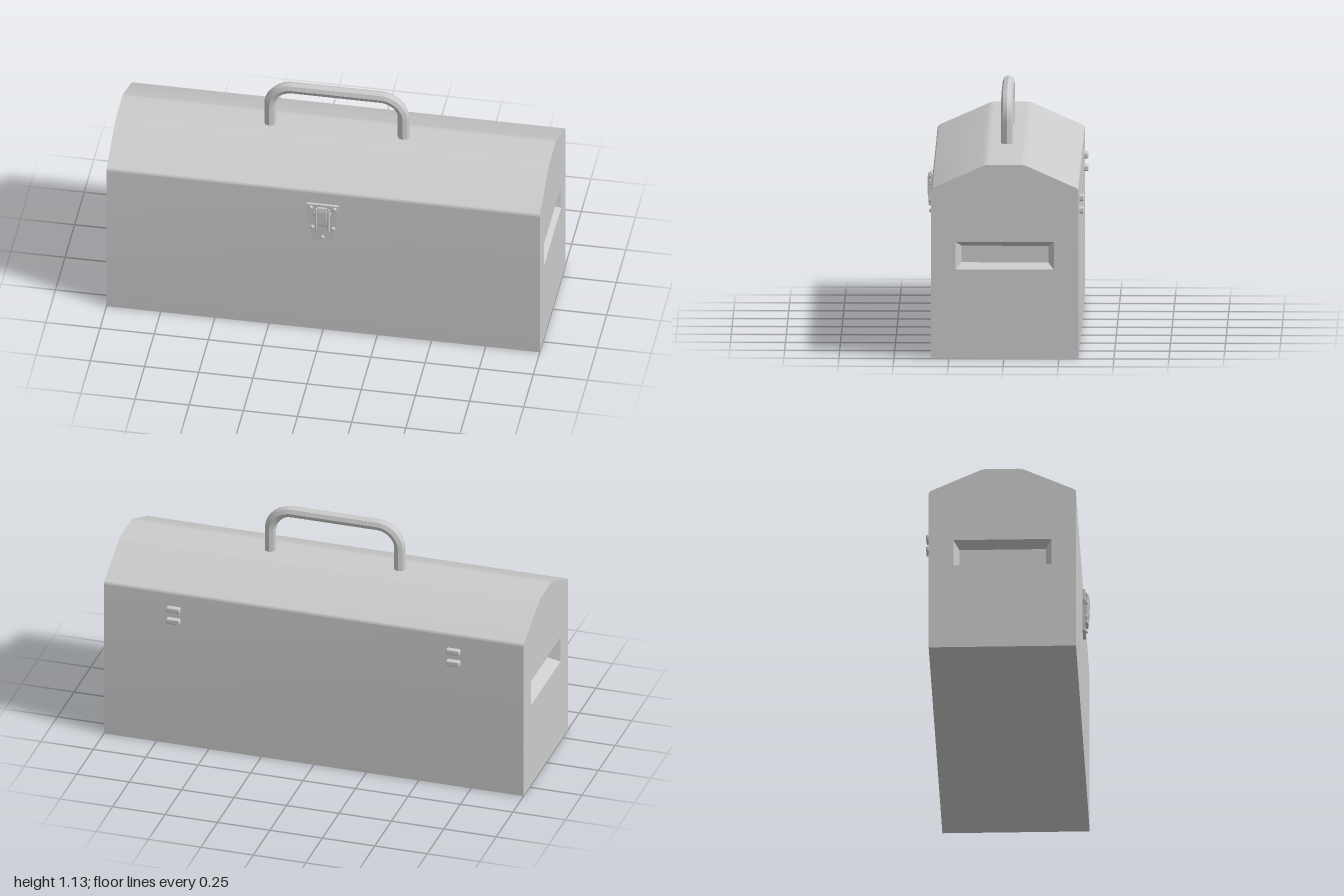
import * as THREE from 'three';
import { toCreasedNormals } from 'three/addons/utils/BufferGeometryUtils.js';
import { RoundedBoxGeometry } from 'three/addons/geometries/RoundedBoxGeometry.js';

const grey = new THREE.MeshStandardMaterial({ color: 0xcccccc });
const MID_Z = -0.004, FRONT_Z = 0.331, BACK_Z = -0.339;

function add(parent, name, geometry, x = 0, y = 0, z = 0) {
  const mesh = new THREE.Mesh(geometry, grey);
  mesh.name = name;
  mesh.position.set(x, y, z);
  parent.add(mesh);
  return mesh;
}

// Geometry from a list of four-cornered faces (counter-clockwise from outside)
function quads(list) {
  const pos = [];
  for (const [a, b, c, d] of list) for (const p of [a, b, c, a, c, d]) pos.push(...p);
  const g = new THREE.BufferGeometry();
  g.setAttribute('position', new THREE.Float32BufferAttribute(pos, 3));
  g.computeVertexNormals();
  return g;
}

const rect = (w, y0, y1, z) => [[-w, y0, z], [w, y0, z], [w, y1, z], [-w, y1, z]];

// End profile of the box: straight sides, softly bent sloping lid, flat ridge
function profile() {
  const s = new THREE.Shape();
  s.moveTo(-0.335, 0);
  s.lineTo(0.335, 0);
  s.lineTo(0.335, 0.768);
  s.quadraticCurveTo(0.335, 0.78, 0.322, 0.786);
  s.lineTo(0.106, 0.882);
  s.quadraticCurveTo(0.09, 0.89, 0.074, 0.89);
  s.lineTo(-0.074, 0.89);
  s.quadraticCurveTo(-0.09, 0.89, -0.106, 0.882);
  s.lineTo(-0.322, 0.786);
  s.quadraticCurveTo(-0.335, 0.78, -0.335, 0.768);
  s.lineTo(-0.335, 0);
  return s;
}

function buildBody() {
  const body = new THREE.Group();
  body.name = 'body';
  body.position.z = MID_Z;

  // Shell running the full length
  const pts = profile().getPoints(5);
  const faces = [];
  for (let i = 0; i < pts.length - 1; i++) {
    const a = pts[i], b = pts[i + 1];
    faces.push([[a.x, a.y, 1], [a.x, a.y, -1], [b.x, b.y, -1], [b.x, b.y, 1]]);
  }
  add(body, 'shell', toCreasedNormals(quads(faces), 0.5)).rotation.y = Math.PI / 2;

  // Two end panels, each with a sunken grip
  for (const side of [1, -1]) {
    const end = new THREE.Group();
    end.name = side > 0 ? 'leftEnd' : 'rightEnd';
    end.position.x = side;
    end.rotation.y = side * Math.PI / 2;
    const shape = profile();
    const outer = rect(0.223, 0.41, 0.536, 0), inner = rect(0.197, 0.435, 0.511, -0.055);
    shape.holes.push(new THREE.Path(outer.map(p => new THREE.Vector2(p[0], p[1])).reverse()));
    add(end, 'endPanel', new THREE.ShapeGeometry(shape, 5));
    const walls = outer.map((p, i) => {
      const j = (i + 1) % 4;
      return [p, outer[j], inner[j], inner[i]];
    });
    add(end, 'gripRecess', quads([...walls, inner]));
    body.add(end);
  }
  return body;
}

// Eight-sided bar bent into a carrying handle
function buildHandle() {
  const v = (x, y) => new THREE.Vector3(x, y, 0);
  const path = new THREE.CurvePath();
  const w = 0.308, top = 1.1, r = 0.105, k = r * 0.448;
  path.add(new THREE.LineCurve3(v(-w, 0.88), v(-w, top - r)));
  path.add(new THREE.CubicBezierCurve3(v(-w, top - r), v(-w, top - k), v(-w + k, top), v(-w + r, top)));
  path.add(new THREE.LineCurve3(v(-w + r, top), v(w - r, top)));
  path.add(new THREE.CubicBezierCurve3(v(w - r, top), v(w - k, top), v(w, top - k), v(w, top - r)));
  path.add(new THREE.LineCurve3(v(w, top - r), v(w, 0.88)));
  return toCreasedNormals(new THREE.TubeGeometry(path, 72, 0.027, 8), 0.6);
}

function buildLatch() {
  const latch = new THREE.Group();
  latch.name = 'latch';
  latch.position.z = FRONT_Z;

  // Tapered back plate
  const outline = [[-0.05, 0.519], [0.05, 0.519], [0.066, 0.64], [0.073, 0.665], [0.073, 0.714],
    [-0.073, 0.714], [-0.073, 0.665], [-0.066, 0.64]];
  const plate = new THREE.Shape(outline.map(p => new THREE.Vector2(...p)));
  add(latch, 'plate', new THREE.ExtrudeGeometry(plate, { depth: 0.013, bevelEnabled: false }));

  // Lever, side with a slight lean and a curled lip
  const lever = new THREE.Shape([[0.012, 0.562], [0.026, 0.562], [0.026, 0.605], [0.03, 0.612],
    [0.031, 0.685], [0.028, 0.706], [0.022, 0.71], [0.018, 0.7], [0.012, 0.66]]
    .map(([z, y]) => new THREE.Vector2(-z, y)));
  const addLever = (name, width) => {
    const g = new THREE.ExtrudeGeometry(lever, { depth: width, bevelEnabled: false });
    g.translate(0, 0, -width / 2).rotateY(Math.PI / 2);
    return add(latch, name, g);
  };
  addLever('lever', 0.044);
  add(latch, 'leverBase', new RoundedBoxGeometry(0.068, 0.095, 0.012, 2, 0.004), 0, 0.61, 0.018);
  add(latch, 'keeper', new RoundedBoxGeometry(0.08, 0.022, 0.012, 2, 0.004), 0, 0.668, 0.018);

  // Side links of the catch
  for (const s of [1, -1])
    add(latch, 'link', new RoundedBoxGeometry(0.009, 0.12, 0.011, 2, 0.004), s * 0.029, 0.64, 0.021);

  // Domed rivets
  const dome = new THREE.SphereGeometry(0.0105, 12, 6, 0, Math.PI * 2, 0, Math.PI / 2);
  dome.rotateX(Math.PI / 2);
  for (const [x, y] of [[-0.055, 0.698], [0.055, 0.698], [-0.048, 0.588], [0.048, 0.588], [0, 0.535]])
    add(latch, 'rivet', dome, x, y, 0.013);
  return latch;
}

export function createModel() {
  const model = new THREE.Group();
  model.name = 'toolbox';
  model.add(buildBody());
  add(model, 'handle', buildHandle(), 0.004, 0, MID_Z);
  model.add(buildLatch());

  // Pairs of hinge knuckles on the back
  const knuckle = new RoundedBoxGeometry(0.065, 0.027, 0.034, 2, 0.007);
  for (const x of [0.667, -0.667])
    for (const y of [0.695, 0.637]) add(model, 'hingeKnuckle', knuckle, x, y, BACK_Z - 0.004);
  return model;
}
